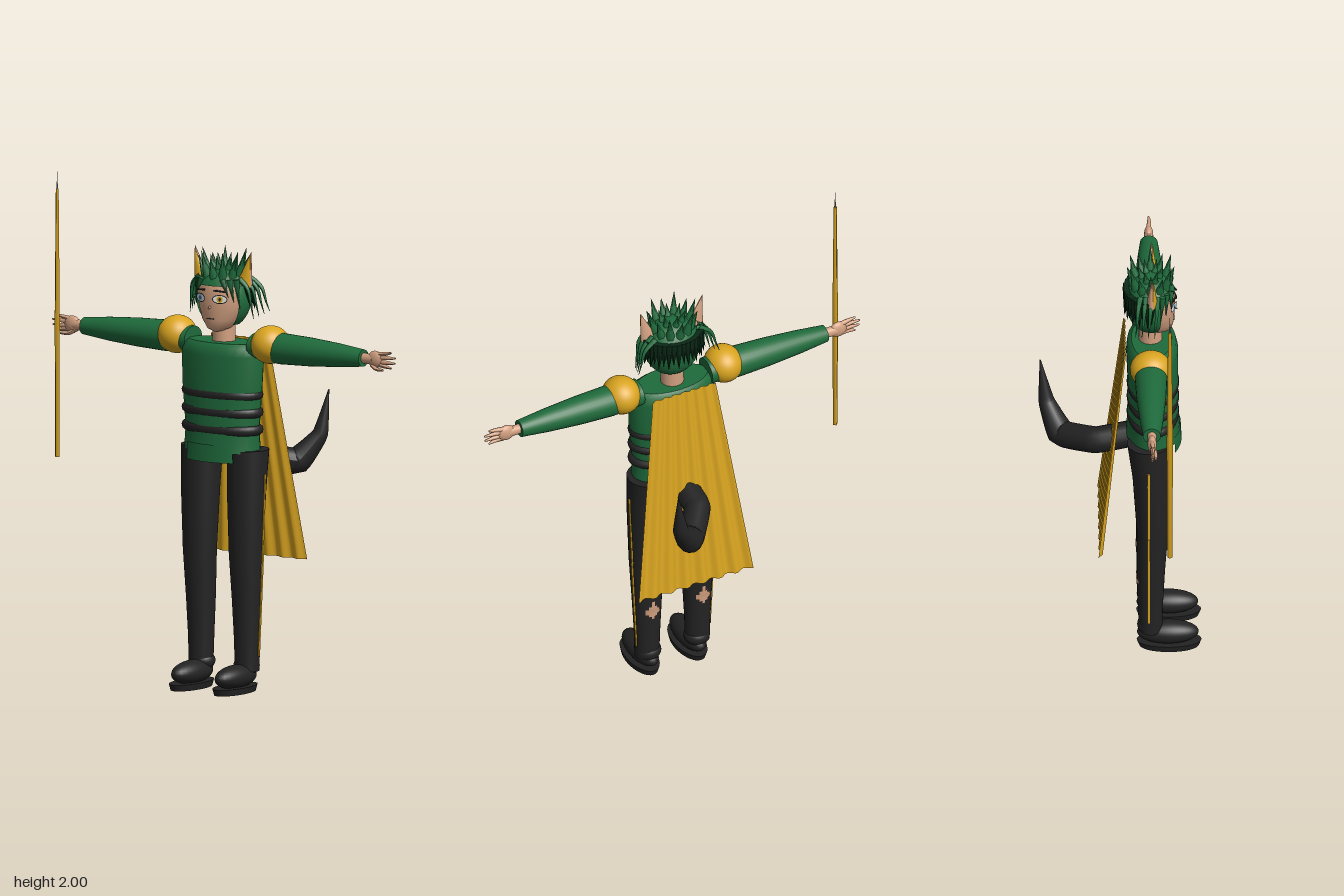
import * as THREE from 'three';

const mat = (name, color) => new THREE.MeshStandardMaterial({ name, color, side: THREE.DoubleSide });

// Rings [x, y, z, radiusX, radiusZ] stacked upwards, closed by flat caps
function loft(rings, n = 28) {
  const first = rings[0], last = rings[rings.length - 1];
  const flat = r => [r[0], r[1], r[2], 0, 0];
  const all = [flat(first), first, ...rings, last, flat(last)];
  const pos = [], idx = [];
  all.forEach(([x, y, z, rx, rz], i) => {
    for (let k = 0; k < n; k++) {
      const a = (k / n) * Math.PI * 2;
      pos.push(x + Math.cos(a) * rx, y, z + Math.sin(a) * rz);
      if (i === 0) continue;
      const p = (i - 1) * n, q = i * n, m = (k + 1) % n;
      idx.push(p + k, q + k, p + m, q + k, q + m, p + m);
    }
  });
  const g = new THREE.BufferGeometry();
  g.setAttribute('position', new THREE.Float32BufferAttribute(pos, 3));
  g.setIndex(idx);
  g.computeVertexNormals();
  return g;
}

// Curved tube whose radius follows a rule of t
function taperTube(points, radius, segments = 24, sides = 12, tension = 0.5) {
  const curve = new THREE.CatmullRomCurve3(points.map(p => new THREE.Vector3(...p)), false, 'catmullrom', tension);
  const g = new THREE.TubeGeometry(curve, segments, 1, sides);
  const p = g.attributes.position, v = new THREE.Vector3();
  for (let i = 0; i < p.count; i++) {
    const t = Math.floor(i / (sides + 1)) / segments, c = curve.getPointAt(t);
    v.fromBufferAttribute(p, i).sub(c).multiplyScalar(radius(t)).add(c);
    p.setXYZ(i, v.x, v.y, v.z);
  }
  g.computeVertexNormals();
  return g;
}

export function createModel() {
  const root = new THREE.Group();
  const green = mat('green cloth and hair', 0x1f6b3c), darkGreen = mat('dark green hair', 0x0b2a17);
  const gold = mat('gold', 0xdaa520), black = mat('black', 0x232323), skin = mat('skin', 0xd2a080);
  const white = mat('eye white', 0xf2f2f2), blue = mat('blue iris', 0x6fa8dc), steel = mat('steel', 0x7c8288);

  const add = (name, geo, material, x = 0, y = 0, z = 0, parent = root) => {
    const m = new THREE.Mesh(geo, material);
    m.name = name;
    m.position.set(x, y, z);
    parent.add(m);
    return m;
  };
  const ball = (name, material, x, y, z, rx, ry, rz) => {
    const m = add(name, new THREE.SphereGeometry(1, 28, 18), material, x, y, z);
    m.scale.set(rx, ry, rz);
    return m;
  };
  // Cone from a base point to a tip point
  const spike = (name, material, base, tip, r, sides = 6) => {
    const a = new THREE.Vector3(...base), d = new THREE.Vector3(...tip).sub(a), len = d.length();
    const m = add(name, new THREE.ConeGeometry(r, len, sides).translate(0, len / 2, 0), material, ...base);
    m.quaternion.setFromUnitVectors(new THREE.Vector3(0, 1, 0), d.normalize());
    return m;
  };

  // Tunic with a lower front flap and belts
  add('tunic', loft([
    [0, 0.955, 0.135, 0.17, 0.108], [0, 1.04, 0.135, 0.165, 0.1], [0, 1.2, 0.135, 0.18, 0.1],
    [0, 1.34, 0.132, 0.187, 0.103], [0, 1.375, 0.13, 0.178, 0.097], [0, 1.39, 0.13, 0.155, 0.08]]), green);
  const flap = add('tunicFlap', new THREE.CylinderGeometry(1, 1.03, 0.07, 16, 1, true, -0.7, 1.4), green, 0, 0.953, 0.135);
  flap.scale.set(0.17, 1, 0.11);
  for (const y of [1.045, 1.115, 1.185]) {
    const belt = add('belt', new THREE.TorusGeometry(0.165, 0.02, 10, 40).rotateX(Math.PI / 2), black, 0, y, 0.135);
    belt.scale.set(1, 1, 0.56);
  }
  ball('hips', black, 0, 0.96, 0.125, 0.15, 0.06, 0.08);

  // Legs, shoes, side stripes and torn patches
  const legRings = [[0, 0.08, 0.125, 0.05, 0.046], [0, 0.2, 0.124, 0.053, 0.05], [0, 0.36, 0.126, 0.061, 0.056],
    [0, 0.55, 0.133, 0.07, 0.063], [0, 0.8, 0.128, 0.08, 0.074], [0, 0.965, 0.118, 0.083, 0.086]];
  for (const s of [-1, 1]) {
    add('trouserLeg', loft(legRings), black, s * 0.112, 0, 0);
    for (let i = 0; i < 4; i++) {
      const [, y0, , r0] = legRings[i], [, y1, , r1] = legRings[i + 1];
      const ya = i ? y0 : 0.14, yb = i === 3 ? 1.0 * y1 + 0.07 : y1;
      const strip = add('sideStripe', new THREE.BoxGeometry(0.006, yb - ya, 0.009), gold,
        s * (0.112 + (r0 + r1) / 2 + 0.001), (ya + yb) / 2, 0.117);
      strip.rotation.z = -s * Math.atan2(r1 - r0, y1 - y0);
    }
    for (const [y, h, w] of [[0.32, 0.026, 0.55], [0.322, 0.05, 0.3], [0.328, 0.085, 0.1]]) {
      const patch = add('tornPatch', new THREE.CylinderGeometry(0.0615, 0.0585, h, 10, 1, true, Math.PI - w, 2 * w), skin, s * 0.112, y, 0.126);
      patch.scale.z = 0.96;
    }
    ball('ankle', black, s * 0.108, 0.1, 0.122, 0.053, 0.04, 0.05);
    ball('shoe', black, s * 0.106, 0.063, 0.193, 0.053, 0.047, 0.122);
    const sole = add('sole', new THREE.CylinderGeometry(1, 0.92, 0.026, 32), black, s * 0.106, 0.013, 0.198);
    sole.scale.set(0.06, 1, 0.128);

    // Shoulder guards, sleeves and hands
    ball('shoulderGuard', gold, s * 0.227, 1.393, 0.125, 0.077, 0.076, 0.083);
    const arm = (name, rings, material) =>
      add(name, loft(rings).rotateZ(-s * Math.PI / 2), material, 0, 1.382, 0.125);
    arm('sleeve', [[0, 0.15, 0, 0.05, 0.06], [0, 0.28, 0, 0.062, 0.064], [0, 0.42, 0, 0.057, 0.058],
      [0, 0.56, 0, 0.047, 0.047], [0, 0.68, 0, 0.034, 0.035]], green);
    arm('wrist', [[0, 0.67, 0, 0.02, 0.018], [0, 0.73, 0, 0.022, 0.018]], skin);
    ball('palm', skin, s * 0.738, 1.383, 0.125, 0.037, 0.034, 0.018);
    for (const [dy, x, ty] of [[0.022, 0.815, 0.032], [0.008, 0.835, 0.012], [-0.008, 0.833, -0.009], [-0.02, 0.815, -0.03]])
      add('finger', taperTube([[s * 0.755, 1.383 + dy, 0.125], [s * 0.79, 1.383 + (dy + ty) / 2, 0.127], [s * x, 1.383 + ty, 0.125]],
        t => 0.0095 - 0.006 * t * t, 8, 8), skin);
    add('thumb', taperTube([[s * 0.725, 1.36, 0.13], [s * 0.75, 1.347, 0.138], [s * 0.785, 1.345, 0.14]], t => 0.01 - 0.005 * t, 8, 8), skin);
  }

  // Neck and head
  add('neck', new THREE.CylinderGeometry(0.045, 0.047, 0.12, 24), skin, 0, 1.42, 0.125);
  add('head', loft([[0, 1.433, 0.165, 0.018, 0.025], [0, 1.445, 0.155, 0.045, 0.054], [0, 1.48, 0.14, 0.077, 0.078],
    [0, 1.53, 0.132, 0.098, 0.089], [0, 1.59, 0.13, 0.107, 0.093], [0, 1.64, 0.128, 0.095, 0.08], [0, 1.67, 0.127, 0.055, 0.05]], 36), skin);
  spike('nose', skin, [0, 1.535, 0.212], [0, 1.528, 0.235], 0.009, 8);
  add('mouth', new THREE.BoxGeometry(0.034, 0.004, 0.006), black, 0, 1.487, 0.218);

  // Eyes as thin plates on the face
  for (const s of [-1, 1]) {
    const eye = new THREE.Group();
    eye.name = 'eye';
    eye.position.set(s * 0.046, 1.568, 0.217);
    eye.rotation.y = s * 0.4;
    root.add(eye);
    const disc = (name, rx, ry, material, z) =>
      add(name, new THREE.CircleGeometry(1, 20), material, 0, 0, z, eye).scale.set(rx, ry, 1);
    disc('eyeOutline', 0.031, 0.018, black, 0.001);
    disc('eyeWhite', 0.028, 0.0145, white, 0.002);
    disc('iris', 0.0125, 0.0135, s < 0 ? blue : gold, 0.003);
    disc('pupil', 0.005, 0.007, black, 0.004);
    add('eyebrow', new THREE.BoxGeometry(0.052, 0.006, 0.006), black, 0, 0.032, 0, eye).rotation.z = -s * 0.1;
  }

  // Hair cap, and hair wrapping the back of the head
  add('hairCap', new THREE.SphereGeometry(1, 36, 12, 0, Math.PI * 2, 0, 1.12), green, 0, 1.565, 0.128).scale.set(0.12, 0.122, 0.104);
  add('backHair', new THREE.SphereGeometry(1, 30, 18, Math.PI * 0.87, Math.PI * 1.26, 0, 2.5), green, 0, 1.56, 0.128).scale.set(0.114, 0.126, 0.1);

  // Crown of spikes
  for (let i = 0; i < 12; i++) {
    const a = (i / 12) * Math.PI * 2, c = Math.cos(a), d = Math.sin(a);
    spike('hairSpike', green, [c * 0.072, 1.645, 0.126 + d * 0.065], [c * 0.104, 1.755 - 0.025 * (i % 2), 0.126 + d * 0.094], 0.02);
    if (i % 2) spike('innerSpike', green, [c * 0.035, 1.665, 0.126 + d * 0.03], [c * 0.055, 1.735, 0.126 + d * 0.05], 0.017);
  }
  // Jagged layer around the back
  for (let i = 0; i <= 20; i++) {
    const a = Math.PI * (0.97 + 1.06 * i / 20), c = Math.cos(a), d = Math.sin(a);
    spike('backLock', darkGreen, [c * 0.112, 1.632, 0.12 + d * 0.085], [c * 0.13, 1.535 - 0.02 * (i % 2), 0.12 + d * 0.1], 0.02, 5);
  }
  for (const s of [-1, 1]) {
    // Side locks
    for (let i = 0; i < 4; i++)
      add('sideLock', taperTube([[s * 0.095, 1.645, 0.15 - i * 0.022], [s * (0.133 + i * 0.004), 1.61, 0.15 - i * 0.025],
        [s * (0.145 + i * 0.007), 1.55, 0.145 - i * 0.025], [s * (0.155 + i * 0.008), 1.49 + i * 0.008, 0.14 - i * 0.025]],
        t => 0.011 * (1 - t) + 0.001, 12, 7), green);
    // Fringe strands
    for (let i = 0; i < 3; i++)
      spike('fringe', green, [s * (0.05 + i * 0.022), 1.645, 0.205 - i * 0.016], [s * (0.082 + i * 0.012), 1.575 - i * 0.025, 0.208 - i * 0.022], 0.013);
    // Pointed ears with gold inner faces
    spike('ear', skin, [s * 0.103, 1.62, 0.128], [s * 0.137, 1.757, 0.13], 0.036, 16).scale.z = 0.55;
    spike('innerEar', gold, [s * 0.104, 1.622, 0.136], [s * 0.136, 1.748, 0.136], 0.031, 16).scale.z = 0.55;
  }

  // Pleated cape
  const cape = new THREE.PlaneGeometry(1, 1, 64, 16), cp = cape.attributes.position;
  for (let i = 0; i < cp.count; i++) {
    const u = cp.getX(i), t = 0.5 - cp.getY(i);
    const wave = Math.cos(u * Math.PI * 2 * 7) * (0.004 + 0.005 * t);
    cp.setXYZ(i, u * (0.28 + 0.23 * t), 1.393 - 0.883 * t, 0.024 - 0.097 * t + wave);
  }
  cape.computeVertexNormals();
  add('cape', cape, gold);

  // Bent tail
  add('tail', taperTube([[0, 0.935, 0.05], [0, 0.905, -0.09], [0.1, 0.87, -0.225], [0.172, 0.975, -0.283], [0.197, 1.155, -0.308]],
    t => t < 0.5 ? 0.053 : 0.053 * (1 - (t - 0.5) * 2) + 0.002, 40, 14, 0.15), black);

  // Slender four-sided spear
  const shaft = (name, r0, r1, y0, y1, material) =>
    add(name, new THREE.CylinderGeometry(r1, r0, y1 - y0, 4), material, -0.762, (y0 + y1) / 2, 0.195);
  shaft('spearLower', 0.01, 0.0125, 0.86, 1.4, gold);
  shaft('spearUpper', 0.0125, 0.007, 1.4, 1.93, gold);
  shaft('spearTip', 0.004, 0.0005, 1.92, 2.0, steel);
  return root;
}
